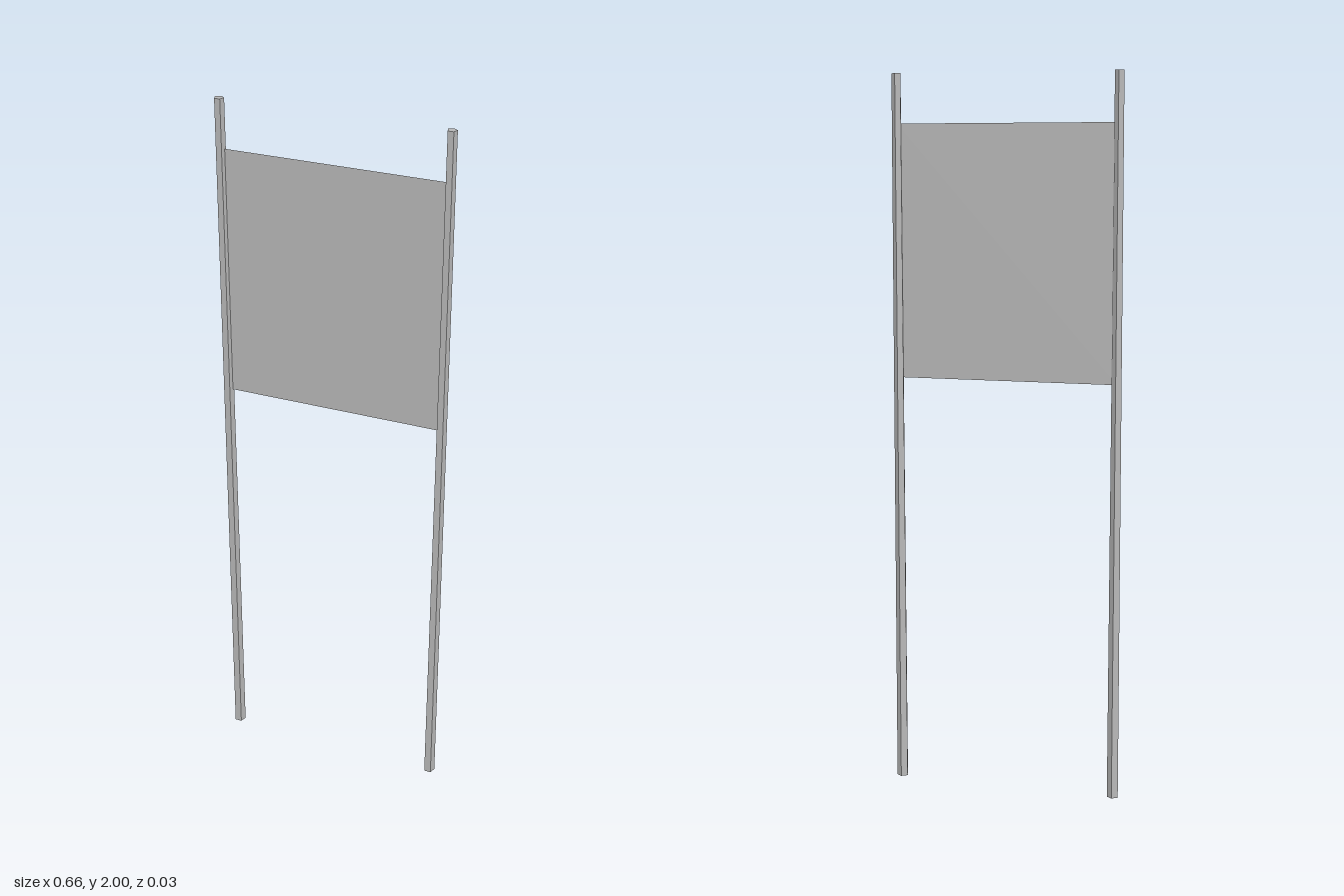
import * as THREE from 'three';

export function createModel() {
  const model = new THREE.Group();
  const poleGrey = new THREE.MeshStandardMaterial({ color: 0xb8b8b8, flatShading: true });
  poleGrey.name = 'pole grey';
  const panelGrey = new THREE.MeshStandardMaterial({ color: 0xb8b8b8, side: THREE.DoubleSide });
  panelGrey.name = 'panel grey';

  // Two slightly tapered five-sided poles, with one corner facing back
  const poleX = 0.313;
  const poleGeometry = new THREE.CylinderGeometry(0.0135, 0.0165, 2, 5);
  poleGeometry.rotateY(Math.PI);
  for (const side of [-1, 1]) {
    const pole = new THREE.Mesh(poleGeometry, poleGrey);
    pole.name = side < 0 ? 'rightPole' : 'leftPole';
    pole.position.set(side * poleX, 1, 0.0015);
    model.add(pole);
  }

  // Thin sheet stretched between the poles
  const panel = new THREE.Mesh(new THREE.PlaneGeometry(2 * poleX, 0.7), panelGrey);
  panel.name = 'panel';
  panel.position.set(0, 1.515, 0.0015);
  model.add(panel);

  return model;
}
